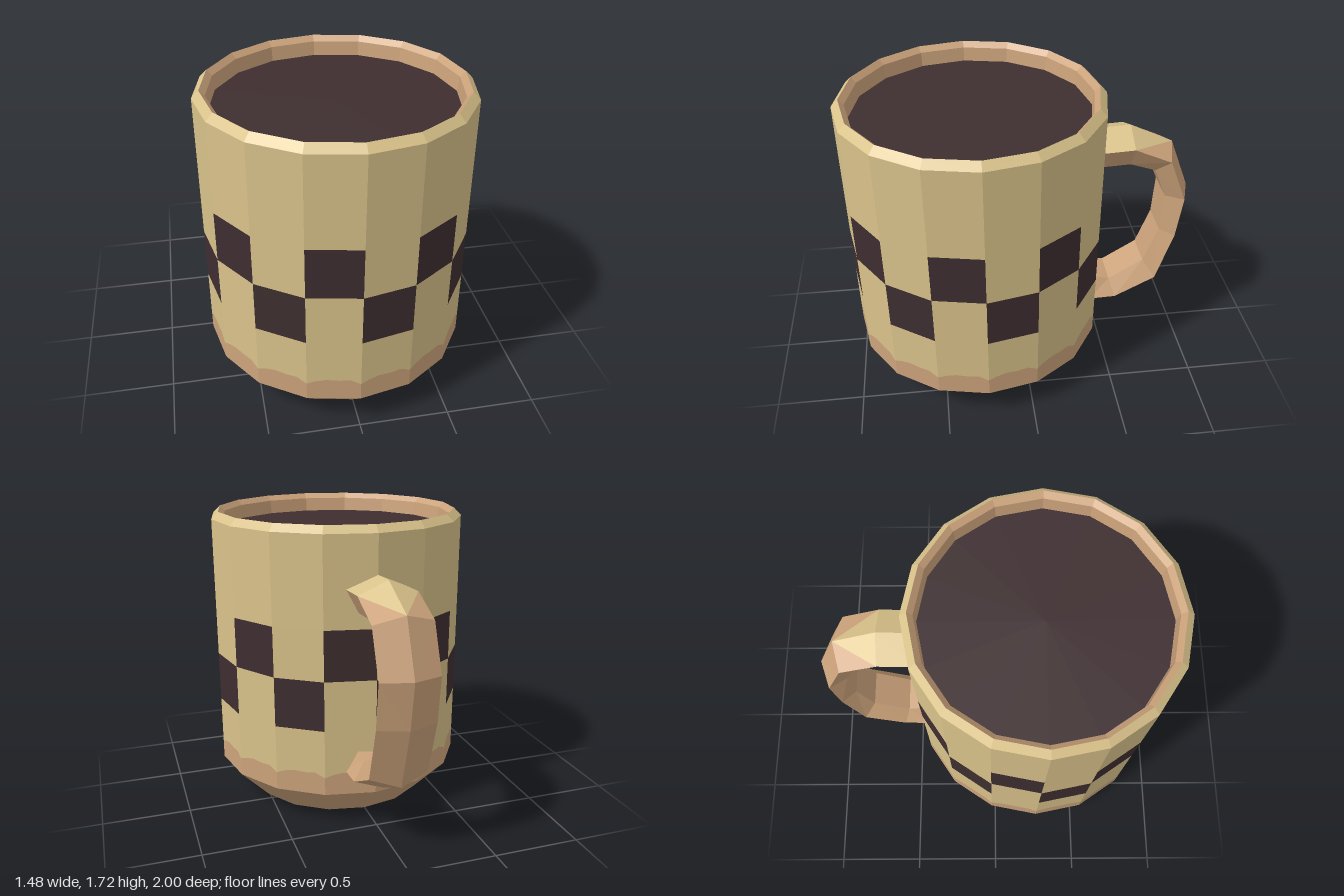
import * as THREE from 'three';

const SIDES = 16, R = 0.74, CZ = 0.26;

function material(name, color, side = THREE.FrontSide) {
  const m = new THREE.MeshStandardMaterial({ color, flatShading: true, side });
  m.name = name;
  return m;
}

// Flat-faced mesh from a list of triangle corners
function facetMesh(name, corners, mat) {
  const g = new THREE.BufferGeometry();
  g.setAttribute('position', new THREE.Float32BufferAttribute(corners.flat(), 3));
  g.computeVertexNormals();
  const mesh = new THREE.Mesh(g, mat);
  mesh.name = name;
  return mesh;
}

// Sixteen-sided ring following a radius / height profile
function ringMesh(name, profile, mat) {
  const pts = profile.map(([r, y]) => new THREE.Vector2(r, y));
  const mesh = new THREE.Mesh(new THREE.LatheGeometry(pts, SIDES), mat);
  mesh.name = name;
  return mesh;
}

export function createModel() {
  const cream = material('cream glaze', 0xd9c28a);
  const clay = material('bare clay', 0xcca37b);
  const dark = material('dark coffee', 0x3e2e30);

  const model = new THREE.Group();
  model.name = 'mug';
  const cup = new THREE.Group();
  cup.name = 'cup';
  cup.position.z = CZ;
  model.add(cup);

  // Base, rim and inside
  cup.add(
    ringMesh('base', [[0, 0], [0.55, 0], [R, 0.2]], clay),
    ringMesh('rim', [[R, 1.68], [0.7, 1.72]], cream),
    ringMesh('innerWall', [[0.7, 1.72], [0.67, 1.69], [0.66, 1.6]], clay),
    ringMesh('coffee', [[0.66, 1.61], [0, 1.61]], dark),
  );

  // Wall facets: clay band with a wavy top, cream glaze, two checker rows
  const band = [], glaze = [], checks = [];
  const corner = (i) => {
    const a = (i / SIDES) * Math.PI * 2;
    return [R * Math.sin(a), R * Math.cos(a)];
  };
  const wave = [[0, 0.305], [0.15, 0.322], [0.35, 0.333], [0.6, 0.328], [0.8, 0.333], [1, 0.305]];
  for (let i = 0; i < SIDES; i++) {
    const [x0, z0] = corner(i), [x1, z1] = corner(i + 1);
    const at = (t, y) => [x0 + (x1 - x0) * t, y, z0 + (z1 - z0) * t];
    const quad = (list, t0, t1, a0, a1, b0, b1) => {
      const p = at(t0, a0), q = at(t1, a1), r = at(t1, b1), s = at(t0, b0);
      list.push(p, q, r, p, r, s);
    };
    for (let k = 0; k < wave.length - 1; k++) {
      const [t0, h0] = wave[k], [t1, h1] = wave[k + 1];
      quad(band, t0, t1, 0.2, 0.2, h0, h1);
      quad(glaze, t0, t1, h0, h1, 0.59, 0.59);
    }
    quad(i % 2 ? glaze : checks, 0, 1, 0.59, 0.59, 0.88, 0.88);
    quad(i % 2 ? checks : glaze, 0, 1, 0.88, 0.88, 1.17, 1.17);
    quad(glaze, 0, 1, 1.17, 1.17, 1.68, 1.68);
  }
  cup.add(
    facetMesh('clayBand', band, clay),
    facetMesh('glazedWall', glaze, cream),
    facetMesh('checkerPattern', checks, dark),
  );

  // Handle: five-sided sections, each [outer z, outer y, inner z, inner y]
  const sections = [
    [-0.42, 1.46, -0.42, 1.26], [-0.63, 1.47, -0.62, 1.27], [-0.88, 1.35, -0.77, 1.22],
    [-1.0, 1.05, -0.845, 1.04], [-0.96, 0.78, -0.835, 0.8], [-0.86, 0.42, -0.755, 0.57],
    [-0.6, 0.29, -0.55, 0.44], [-0.42, 0.265, -0.42, 0.47],
  ];
  const rings = sections.map(([oz, oy, iz, iy]) => {
    const p = (x, f) => [x, oy + (iy - oy) * f, oz + (iz - oz) * f];
    return [p(0, 0), p(0.165, 0.36), p(0.1, 1), p(-0.1, 1), p(-0.165, 0.36)];
  });
  const handleClay = [], handleGlaze = [];
  for (let i = 0; i < rings.length - 1; i++) {
    for (let k = 0; k < 5; k++) {
      const n = (k + 1) % 5;
      const a = rings[i][k], b = rings[i][n], c = rings[i + 1][n], d = rings[i + 1][k];
      // Mirror the diagonals left to right
      const tris = k < 3 ? [[a, b, d], [b, c, d]] : [[a, b, c], [a, c, d]];
      const onTop = k === 0 || k === 4;
      // Glaze runs over the top and tapers to a point along the ridge
      tris.forEach((t, j) => {
        const glazed = onTop && (i === 0 || (i === 1 && j === 0));
        (glazed ? handleGlaze : handleClay).push(...t);
      });
    }
  }
  const handle = new THREE.Group();
  handle.name = 'handle';
  handle.add(
    facetMesh('handleBody', handleClay, clay),
    facetMesh('handleGlaze', handleGlaze, cream),
  );
  model.add(handle);
  return model;
}
